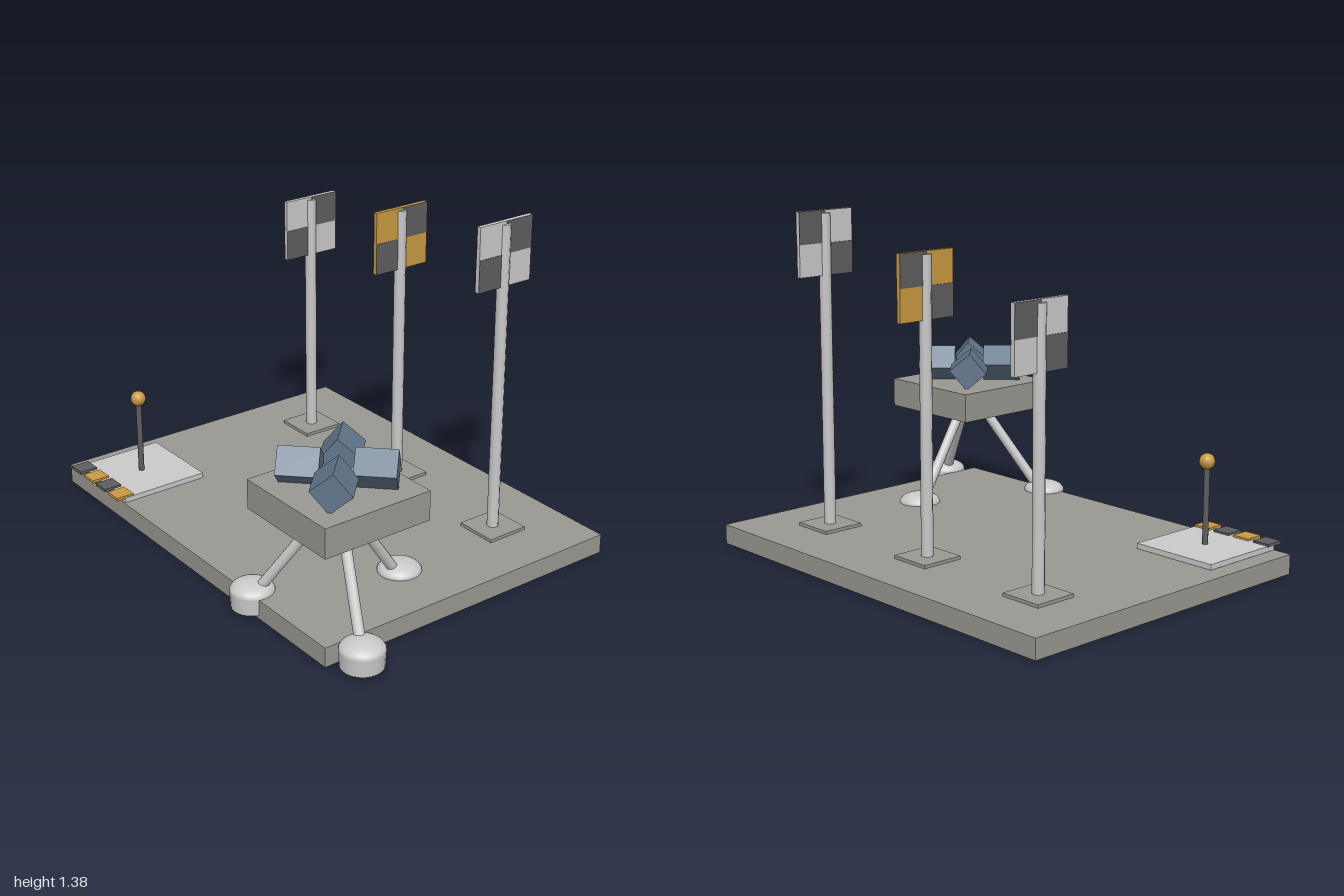
import * as THREE from 'three';

const paint = (name, color) => {
  const m = new THREE.MeshStandardMaterial({ color });
  m.name = name;
  return m;
};

export function createModel() {
  const stone = paint('stone grey', 0x9a9891);
  const light = paint('light grey', 0xcacaca);
  const dark = paint('dark grey', 0x5e5e60);
  const gold = paint('gold', 0xc99a41);
  const blue = paint('slate blue', 0x62768b);
  const model = new THREE.Group();
  model.name = 'displayBoard';

  const add = (name, geometry, material, x, y, z, parent = model) => {
    const mesh = new THREE.Mesh(geometry, material);
    mesh.name = name;
    mesh.position.set(x, y, z);
    parent.add(mesh);
    return mesh;
  };
  // Box given by its minimum and maximum on each axis
  const box = (name, material, x0, x1, y0, y1, z0, z1, parent) =>
    add(name, new THREE.BoxGeometry(x1 - x0, y1 - y0, z1 - z0), material,
      (x0 + x1) / 2, (y0 + y1) / 2, (z0 + z1) / 2, parent);
  // Straight rod between two points
  const rod = (name, material, a, b, radius, parent) => {
    const mesh = add(name, new THREE.CylinderGeometry(radius, radius, a.distanceTo(b), 10), material, 0, 0, 0, parent);
    mesh.position.lerpVectors(a, b, 0.5);
    mesh.quaternion.setFromUnitVectors(new THREE.Vector3(0, 1, 0), b.clone().sub(a).normalize());
    return mesh;
  };

  box('base', stone, -1, 0.825, 0, 0.08, -0.72, 0.655);

  // Three marker posts with checkered panels
  const postZ = -0.415;
  [[-0.7, 1.16, light], [-0.09, 1.27, gold], [0.52, 1.375, light]].forEach(([x, top, colour]) => {
    const post = new THREE.Group();
    post.name = 'markerPost';
    model.add(post);
    box('postFoot', stone, x - 0.09, x + 0.09, 0.08, 0.093, postZ - 0.09, postZ + 0.09, post);
    rod('pole', light, new THREE.Vector3(x, 0.09, postZ), new THREE.Vector3(x, top - 0.012, postZ), 0.024, post);
    const half = 0.13, mid = top - half;
    box('panel', colour, x - 0.009, x + 0.009, top - 2 * half, top, postZ - half, postZ + half, post);
    // Dark checks on both faces
    for (const side of [-1, 1]) {
      const px = x + side * 0.0095;
      box('panelCheck', dark, px - 0.001, px + 0.001, mid, top, postZ - half, postZ, post);
      box('panelCheck', dark, px - 0.001, px + 0.001, top - 2 * half, mid, postZ, postZ + half, post);
    }
  });

  // Control pad with a ball-topped stick and a row of tiles
  box('pad', light, -0.925, -0.55, 0.082, 0.104, 0.27, 0.65);
  rod('stick', dark, new THREE.Vector3(-0.735, 0.1, 0.46), new THREE.Vector3(-0.735, 0.42, 0.46), 0.012);
  add('stickBall', new THREE.SphereGeometry(0.032, 14, 10), gold, -0.735, 0.436, 0.46);
  for (let i = 0; i < 4; i++) {
    const x = -0.89 + i * 0.1;
    box('tile', i % 2 ? gold : dark, x - 0.038, x + 0.038, 0.1, 0.112, 0.61, 0.688);
  }

  // Tripod stand
  const stand = new THREE.Group();
  stand.name = 'tripodStand';
  stand.position.set(0.598, 0, 0.425);
  model.add(stand);
  box('platform', stone, -0.236, 0.236, 0.445, 0.565, -0.236, 0.236, stand);

  for (let i = 0; i < 3; i++) {
    const angle = THREE.MathUtils.degToRad(22.3 + 120 * i);
    const at = (r, y) => new THREE.Vector3(Math.cos(angle) * r, y, Math.sin(angle) * r);
    const foot = at(0.333, 0);
    rod('leg', light, at(0.32, 0.07), at(0.045, 0.46), 0.021, stand);
    add('footCup', new THREE.CylinderGeometry(0.087, 0.083, 0.068, 24), light, foot.x, 0.047, foot.z, stand);
    const dome = add('footDome', new THREE.SphereGeometry(0.087, 24, 8, 0, Math.PI * 2, 0, Math.PI / 2), light,
      foot.x, 0.081, foot.z, stand);
    dome.scale.y = 0.47;
  }

  // Four tilted blocks arranged in a pinwheel
  for (let i = 0; i < 4; i++) {
    const turn = new THREE.Group();
    turn.name = 'blockMount';
    turn.rotation.y = i * Math.PI / 2;
    stand.add(turn);
    const block = add('block', new THREE.BoxGeometry(0.112, 0.112, 0.157), blue, 0.102, 0.637, 0.096, turn);
    block.rotation.set(0, Math.PI / 4, THREE.MathUtils.degToRad(40));
  }
  return model;
}
